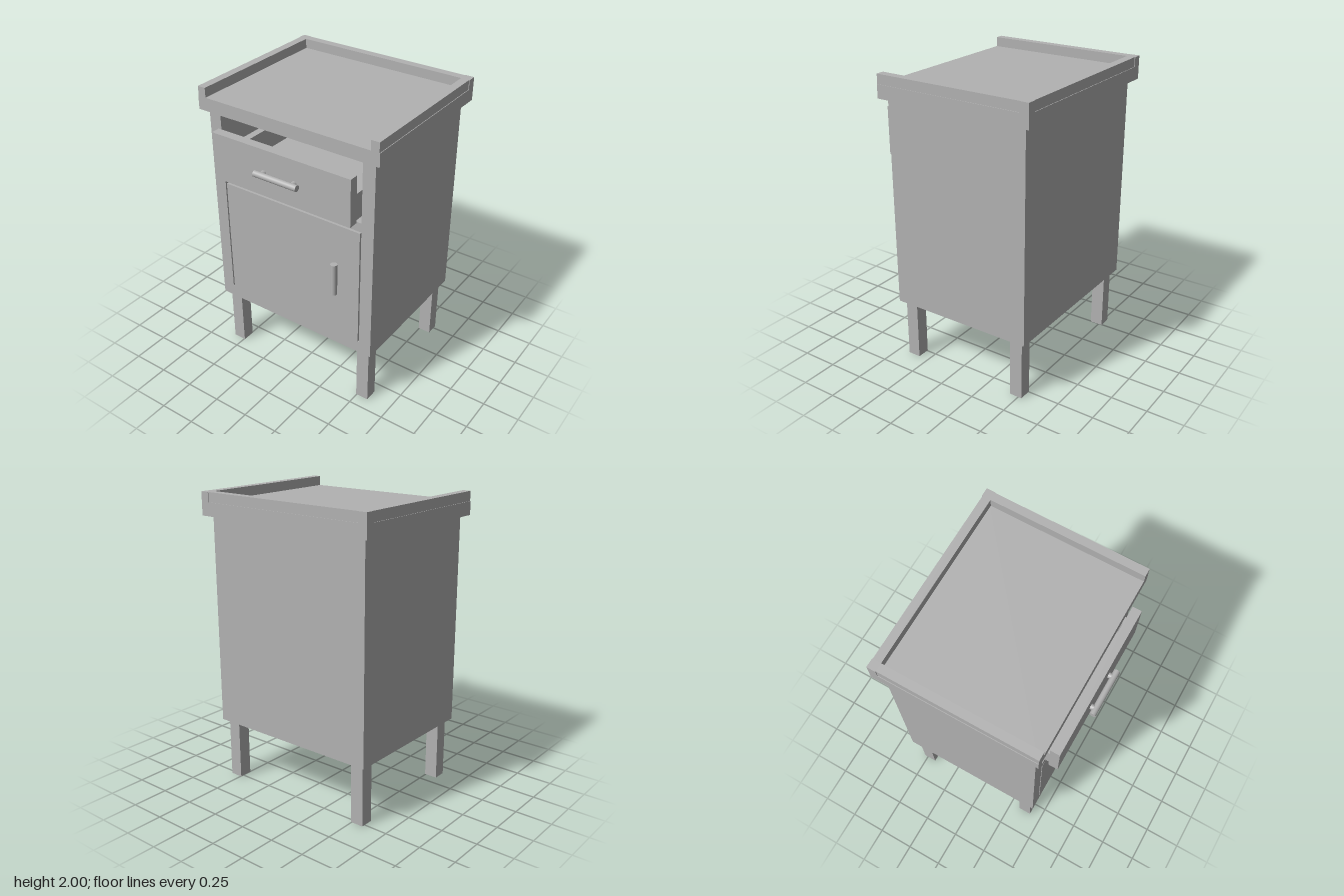
import * as THREE from 'three';

export function createModel() {
  const model = new THREE.Group();
  model.name = 'bedsideCabinet';
  const grey = new THREE.MeshStandardMaterial({ color: 0xb2b2b2 });
  grey.name = 'grey';

  // Box given by its lower and upper limits on each axis
  const box = (name, x0, x1, y0, y1, z0, z1) => {
    const mesh = new THREE.Mesh(new THREE.BoxGeometry(x1 - x0, y1 - y0, z1 - z0), grey);
    mesh.position.set((x0 + x1) / 2, (y0 + y1) / 2, (z0 + z1) / 2);
    mesh.name = name;
    model.add(mesh);
  };
  // Box repeated on both sides
  const pair = (name, x0, x1, ...rest) => {
    box(name + 'Left', x0, x1, ...rest);
    box(name + 'Right', -x1, -x0, ...rest);
  };
  const bar = (name, radius, length, x, y, z) => {
    const mesh = new THREE.Mesh(new THREE.CylinderGeometry(radius, radius, length, 32), grey);
    mesh.position.set(x, y, z);
    mesh.name = name;
    model.add(mesh);
    return mesh;
  };

  // Legs
  pair('frontLeg', 0.495, 0.585, 0, 0.42, 0.325, 0.415);
  pair('backLeg', 0.495, 0.585, 0, 0.42, -0.525, -0.435);

  // Carcass with an open drawer bay
  pair('sidePanel', 0.53, 0.617, 0.42, 1.845, -0.56, 0.45);
  box('backPanel', -0.53, 0.53, 0.42, 1.845, -0.56, -0.5);
  box('bottomPanel', -0.53, 0.53, 0.42, 0.505, -0.5, 0.45);
  box('shelf', -0.53, 0.53, 1.35, 1.413, -0.5, 0.45);

  // Worktop with a raised rim, open at the front
  box('worktop', -0.665, 0.665, 1.845, 1.935, -0.61, 0.49);
  pair('sideRim', 0.605, 0.661, 1.935, 2, -0.55, 0.49);
  box('backRim', -0.605, 0.605, 1.935, 2, -0.606, -0.55);
  pair('rimCorner', 0.605, 0.665, 1.935, 2, -0.61, -0.55);

  // Door and upright handle
  box('door', -0.52, 0.52, 0.505, 1.337, 0.39, 0.45);
  bar('doorHandle', 0.022, 0.225, 0.365, 0.968, 0.498);

  // Drawer, slightly pulled out
  box('drawerFront', -0.517, 0.517, 1.43, 1.75, 0.487, 0.55);
  box('drawerFloor', -0.45, 0.45, 1.43, 1.46, -0.38, 0.487);
  pair('drawerSide', 0.45, 0.5, 1.43, 1.61, -0.43, 0.487);
  box('drawerBack', -0.45, 0.45, 1.43, 1.61, -0.43, -0.38);
  bar('drawerHandle', 0.021, 0.322, 0, 1.59, 0.584).rotation.z = Math.PI / 2;
  for (const x of [-0.115, 0.115]) {
    bar('drawerHandlePost', 0.019, 0.04, x, 1.59, 0.565).rotation.x = Math.PI / 2;
  }
  return model;
}
